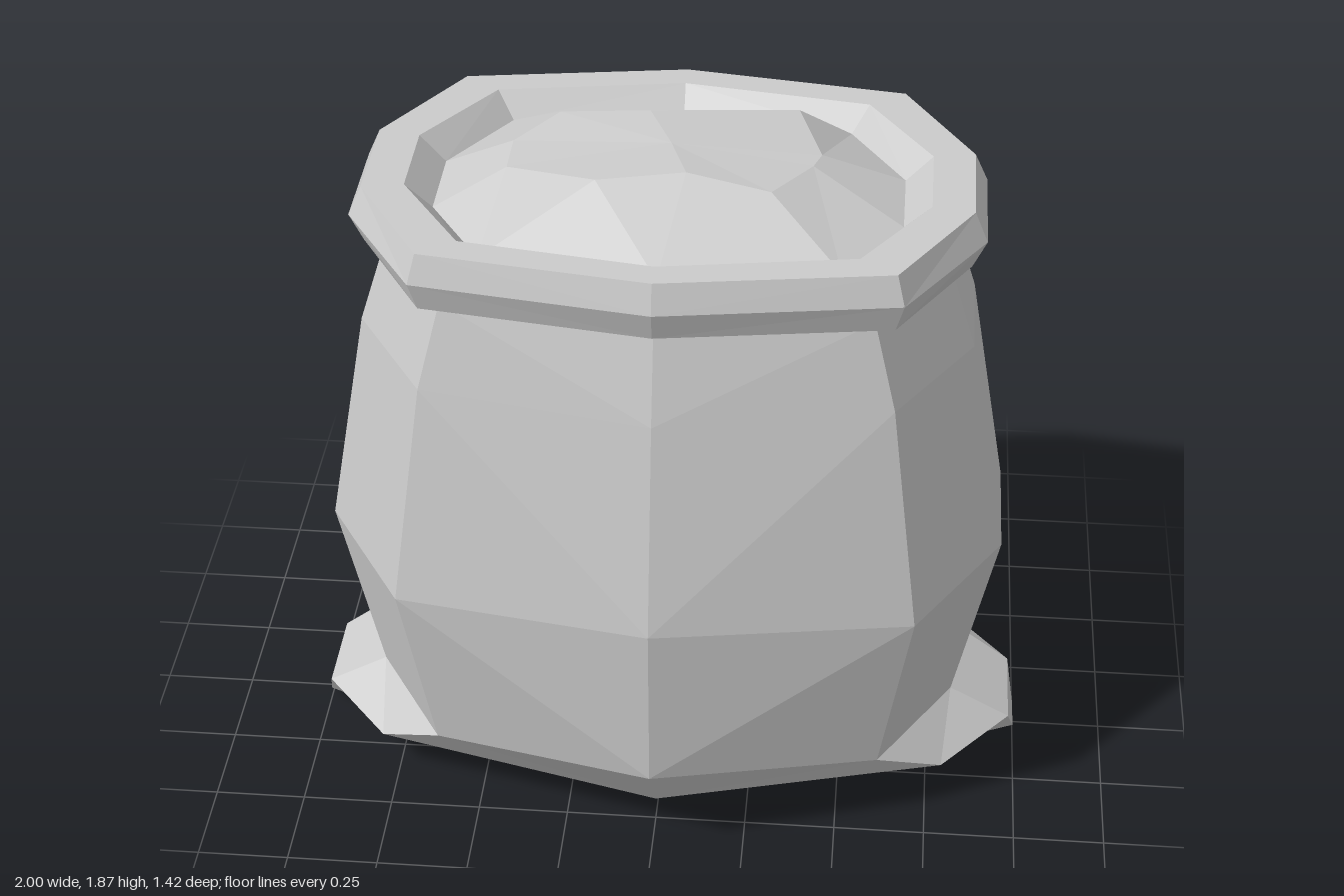
import * as THREE from 'three';

const material = new THREE.MeshStandardMaterial({ color: 0xcccccc, flatShading: true });

// Ten-sided ring, mirrored in x and z, from its front middle, corner and side points
function ring([fy, fz], [cx, cy, cz], [sx, sy, sz]) {
  return [
    [0, fy, fz], [cx, cy, cz], [sx, sy, sz], [sx, sy, -sz], [cx, cy, -cz],
    [0, fy, -fz], [-cx, cy, -cz], [-sx, sy, -sz], [-sx, sy, sz], [-cx, cy, cz],
  ];
}

// Level ring
const flatRing = (y, fz, cx, cz, sx, sz) => ring([y, fz], [cx, y, cz], [sx, y, sz]);

// Joins rings in order; optional centre points close the first and last ring
function loft(name, rings, startCap, endCap) {
  const pos = [];
  const tri = (...pts) => pts.forEach((p) => pos.push(...p));
  const n = rings[0].length;
  for (let r = 0; r < rings.length - 1; r++) {
    const a = rings[r], b = rings[r + 1];
    for (let i = 0; i < n; i++) {
      const j = (i + 1) % n;
      // Diagonals run from the middle seam up to the corners
      if (i % 5 < 2) {
        tri(a[i], a[j], b[j]);
        tri(a[i], b[j], b[i]);
      } else {
        tri(a[i], a[j], b[i]);
        tri(a[j], b[j], b[i]);
      }
    }
  }
  const last = rings[rings.length - 1];
  for (let i = 0; i < n; i++) {
    const j = (i + 1) % n;
    if (startCap) tri(startCap, rings[0][j], rings[0][i]);
    if (endCap) tri(endCap, last[i], last[j]);
  }
  const geometry = new THREE.BufferGeometry();
  geometry.setAttribute('position', new THREE.Float32BufferAttribute(pos, 3));
  geometry.computeVertexNormals();
  const mesh = new THREE.Mesh(geometry, material);
  mesh.name = name;
  return mesh;
}

export function createModel() {
  const group = new THREE.Group();
  group.name = 'openSack';

  const neck = flatRing(1.64, 0.52, 0.55, 0.44, 0.735, 0.14);

  // Bulging cloth body, with pinched ears at the two bottom ends
  group.add(loft('sackBody', [
    ring([0, 0.18], [0.8, 0.02, 0.13], [1.0, 0.03, 0.05]),
    ring([0.07, 0.5], [0.79, 0.13, 0.36], [0.98, 0.13, 0.13]),
    ring([0.31, 0.69], [0.61, 0.24, 0.48], [0.81, 0.24, 0.15]),
    ring([0.81, 0.71], [0.69, 0.77, 0.55], [0.92, 0.77, 0.17]),
    ring([1.39, 0.59], [0.61, 1.4, 0.48], [0.81, 1.4, 0.155]),
    neck,
  ], [0, 0, 0]));

  // Rolled rim around the opening
  const innerRim = flatRing(1.73, 0.43, 0.46, 0.36, 0.61, 0.12);
  group.add(loft('rolledRim', [
    neck,
    flatRing(1.64, 0.56, 0.6, 0.47, 0.79, 0.15),
    flatRing(1.72, 0.585, 0.62, 0.49, 0.825, 0.16),
    flatRing(1.8, 0.56, 0.6, 0.47, 0.79, 0.15),
    flatRing(1.8, 0.48, 0.505, 0.4, 0.68, 0.13),
    innerRim,
  ]));

  // Uneven heap of contents
  const heapTop = [
    [0.05, 1.87, 0.13], [0.27, 1.84, 0.16], [0.37, 1.83, 0.0], [0.39, 1.83, -0.06],
    [0.32, 1.84, -0.28], [-0.07, 1.87, -0.19], [-0.31, 1.85, -0.2],
    [-0.42, 1.83, -0.07], [-0.42, 1.83, 0.07], [-0.18, 1.86, 0.17],
  ];
  group.add(loft('contentsHeap', [innerRim, heapTop], null, [0, 1.87, -0.02]));

  return group;
}
